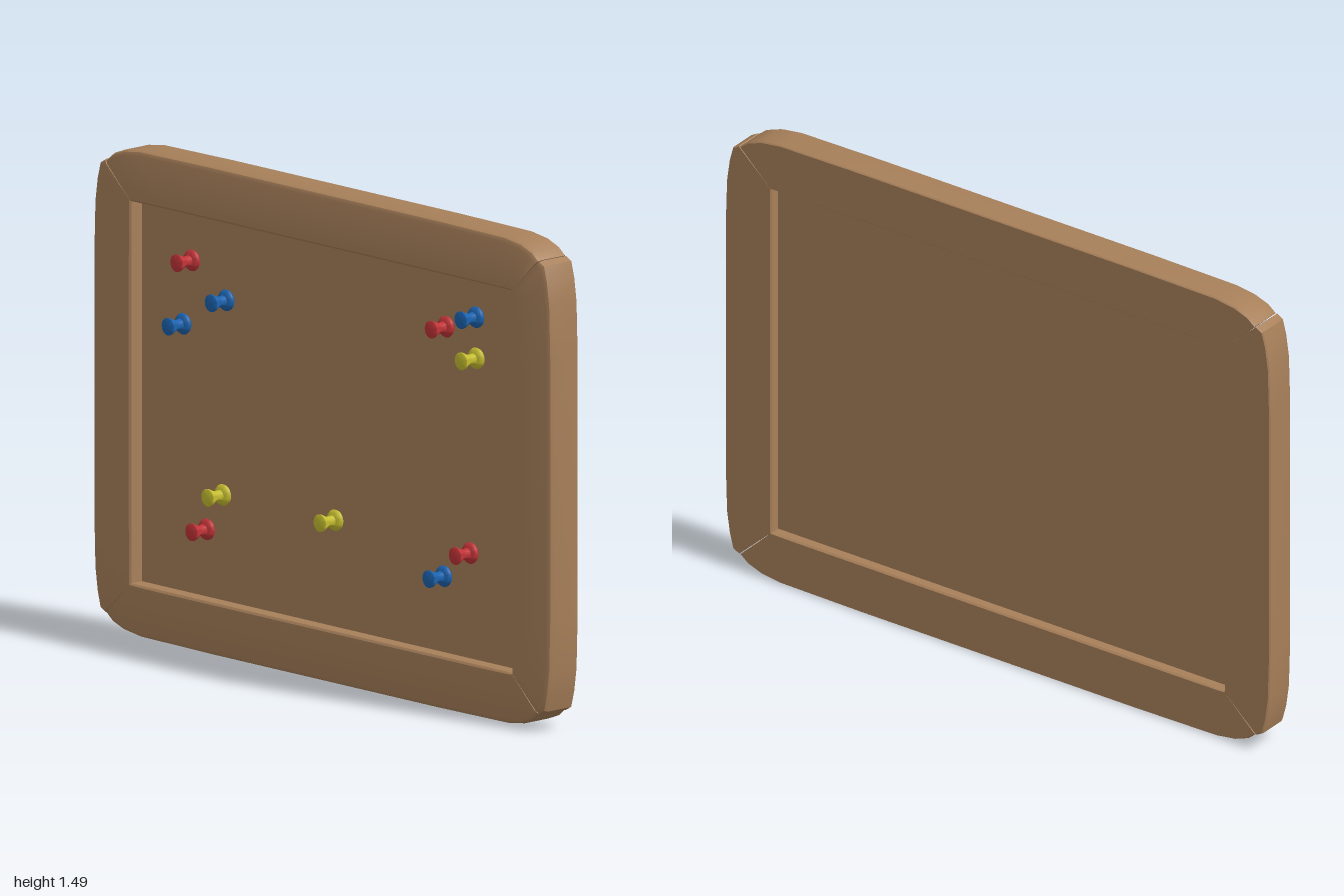
import * as THREE from 'three';
import { toCreasedNormals } from 'three/addons/utils/BufferGeometryUtils.js';

const BACK = -0.07, FRONT = 0.045;

// Beam cross-section, counter-clockwise: [fraction from inner to outer edge, z]
const PROFILE = [
  [0.03, BACK], [0.98, BACK], [1, BACK + 0.004],
  [1, FRONT - 0.018], [0.97, FRONT - 0.006], [0.9, FRONT],
  [0.05, FRONT], [0.01, FRONT - 0.005], [0, FRONT - 0.015], [0, BACK + 0.006],
];

// Mitred beam lying along x with its outer edge towards +y
function beamGeometry(innerHalf, innerOffset, halfOutline) {
  const outline = [
    ...halfOutline.map(([x, y]) => [-x, y]),
    ...[...halfOutline].reverse(),
  ];
  const end = halfOutline[0][0];
  const rings = outline.map(([ox, oy]) => {
    const ix = innerHalf * ox / end;
    return PROFILE.map(([f, z]) => [ix + (ox - ix) * f, innerOffset + (oy - innerOffset) * f, z]);
  });
  const pos = [];
  const tri = (a, b, c) => pos.push(...a, ...b, ...c);
  const n = PROFILE.length;
  for (let i = 0; i < rings.length - 1; i++) {
    for (let j = 0; j < n; j++) {
      const k = (j + 1) % n;
      const a = rings[i][j], b = rings[i][k], c = rings[i + 1][k], d = rings[i + 1][j];
      tri(a, b, c);
      tri(a, c, d);
    }
  }
  // Mitre faces
  const first = rings[0], last = rings[rings.length - 1];
  for (let j = 1; j < n - 1; j++) {
    tri(first[0], first[j + 1], first[j]);
    tri(last[0], last[j], last[j + 1]);
  }
  const g = new THREE.BufferGeometry();
  g.setAttribute('position', new THREE.Float32BufferAttribute(pos, 3));
  return toCreasedNormals(g, 0.6);
}

export function createModel() {
  const model = new THREE.Group();
  model.name = 'pinBoard';

  const material = (name, color) => {
    const m = new THREE.MeshStandardMaterial({ color });
    m.name = name;
    return m;
  };
  const wood = material('brown wood', 0xa8805a);
  const pinColors = {
    red: material('red plastic', 0xc23438),
    blue: material('blue plastic', 0x1c64b0),
    yellow: material('yellow plastic', 0xc6be30),
  };

  const add = (parent, name, geometry, mat) => {
    const mesh = new THREE.Mesh(geometry, mat);
    mesh.name = name;
    parent.add(mesh);
    return mesh;
  };

  // Frame: two long and two short mitred beams
  const frame = new THREE.Group();
  frame.name = 'frame';
  frame.position.y = 0.745;
  model.add(frame);
  const longBeam = beamGeometry(0.83, 0.58,
    [[0.945, 0.69], [0.918, 0.712], [0.87, 0.73], [0.8, 0.74], [0.5, 0.743]]);
  const shortBeam = beamGeometry(0.58, 0.83,
    [[0.69, 0.95], [0.678, 0.972], [0.63, 0.985], [0.56, 0.995], [0.4, 1]]);
  ['topBeam', 'rightBeam', 'bottomBeam', 'leftBeam'].forEach((name, i) => {
    add(frame, name, i % 2 ? shortBeam : longBeam, wood).rotation.z = i * Math.PI / 2;
  });

  // Cork panel set back inside the frame
  const panel = add(model, 'panel', new THREE.BoxGeometry(1.68, 1.18, 0.036), wood);
  panel.position.set(0, 0.745, -0.018);

  // Push pins: wide base, narrow waist, flared head
  const pinProfile = [
    [0, 0], [0.03, 0], [0.033, 0.007], [0.029, 0.014], [0.017, 0.019],
    [0.015, 0.034], [0.018, 0.046], [0.026, 0.062], [0.027, 0.068], [0.024, 0.07], [0, 0.07],
  ].map(([r, h]) => new THREE.Vector2(r, h));
  const pinGeometry = toCreasedNormals(
    new THREE.LatheGeometry(pinProfile, 20).rotateX(Math.PI / 2).toNonIndexed(), 0.7);

  const pins = {
    red: [[-0.605, 1.178], [0.505, 1.158], [0.61, 0.487], [-0.54, 0.371]],
    blue: [[-0.455, 1.081], [-0.643, 0.979], [0.635, 1.208], [0.495, 0.398]],
    yellow: [[0.636, 1.083], [-0.47, 0.487], [0.02, 0.49]],
  };
  for (const [color, spots] of Object.entries(pins)) {
    spots.forEach(([x, y], i) => {
      add(model, `${color}Pin${i + 1}`, pinGeometry, pinColors[color]).position.set(x, y, 0);
    });
  }
  return model;
}
